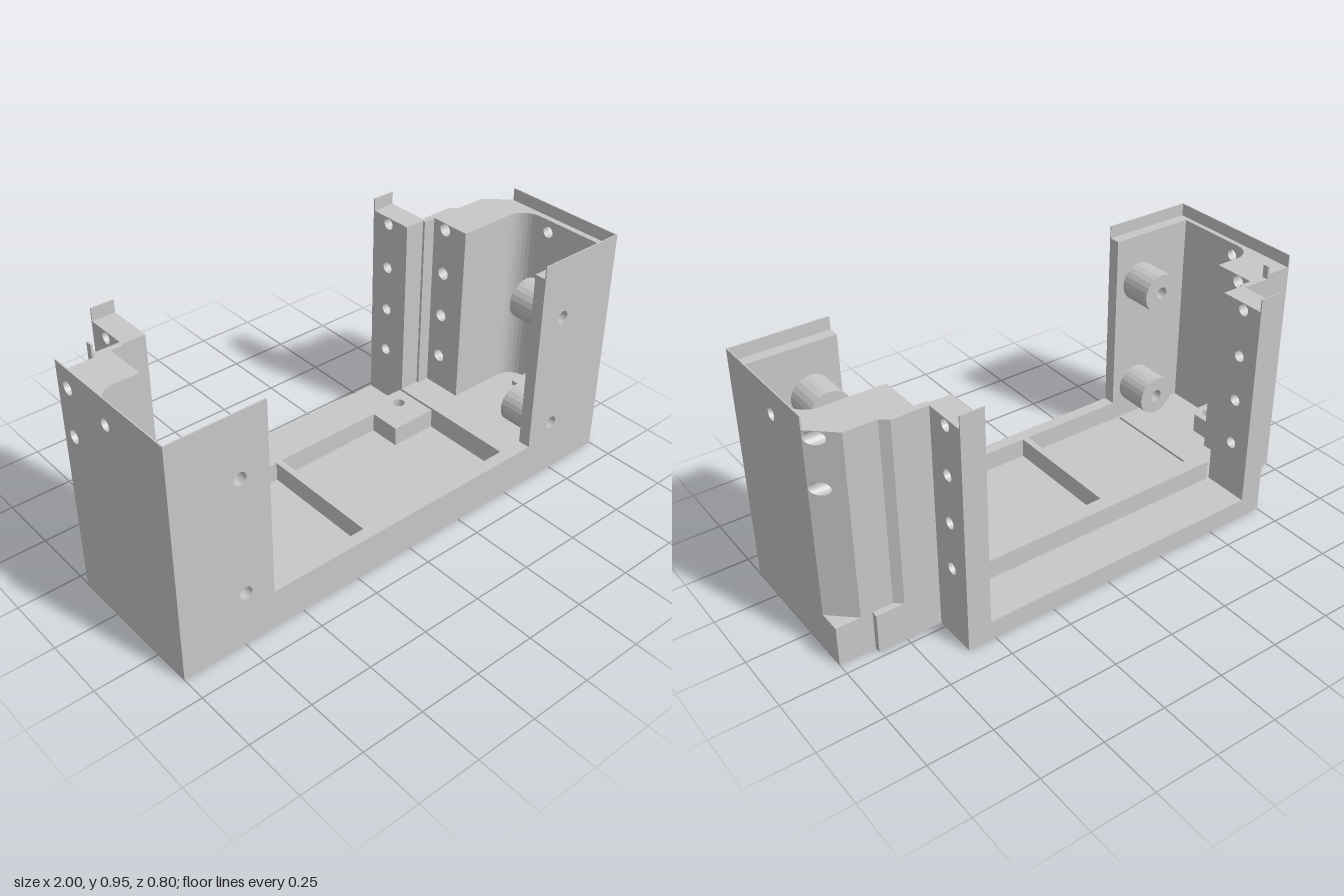
import * as THREE from 'three';

export function createModel() {
  const group = new THREE.Group();
  const grey = new THREE.MeshStandardMaterial({ color: 0xc8c8c8 });
  grey.name = 'light grey plastic';

  const add = (name, geo) => {
    const mesh = new THREE.Mesh(geo, grey);
    mesh.name = name;
    group.add(mesh);
    return mesh;
  };
  // Box given by its limits on each axis
  const box = (name, x0, x1, y0, y1, z0, z1) => {
    const geo = new THREE.BoxGeometry(x1 - x0, y1 - y0, z1 - z0);
    geo.translate((x0 + x1) / 2, (y0 + y1) / 2, (z0 + z1) / 2);
    return add(name, geo);
  };
  const makeShape = pts => new THREE.Shape(pts.map(p => new THREE.Vector2(p[0], p[1])));
  const punch = (shape, x, y, r) => {
    const hole = new THREE.Path();
    hole.absarc(x, y, r, 0, Math.PI * 2, true);
    shape.holes.push(hole);
  };
  const extrude = (shape, depth) =>
    new THREE.ExtrudeGeometry(shape, { depth, bevelEnabled: false, curveSegments: 12 });

  // Plan outline in (x, z) raised from y0 to y1
  const plan = (name, pts, y0, y1, holes = [], slots = []) => {
    const shape = makeShape(pts.map(([x, z]) => [x, -z]));
    holes.forEach(([x, z, r]) => punch(shape, x, -z, r));
    slots.forEach(([x0, x1, z0, z1]) => shape.holes.push(new THREE.Path(
      [[x0, -z0], [x0, -z1], [x1, -z1], [x1, -z0]].map(p => new THREE.Vector2(...p)))));
    const geo = extrude(shape, y1 - y0);
    geo.rotateX(-Math.PI / 2);
    geo.translate(0, y0, 0);
    return add(name, geo);
  };
  // Upright slab with holes [z, y, r] bored along x
  const bored = (name, x0, x1, y0, y1, z0, z1, holes) => {
    const shape = makeShape([[-z1, y0], [-z0, y0], [-z0, y1], [-z1, y1]]);
    holes.forEach(([z, y, r]) => punch(shape, -z, y, r));
    const geo = extrude(shape, x1 - x0);
    geo.rotateY(Math.PI / 2);
    geo.translate(x0, 0, 0);
    return add(name, geo);
  };

  const trayY = 0.08, floorY = 0.16, topY = 0.9, lipY = 0.95, lip = 0.005;
  const rows = [0.873, 0.683, 0.493, 0.303];
  const inner = rows.map(y => [-0.139, y, 0.026]);
  const outer = inner.slice(0, 2);

  // Base slab with two narrow slots
  plan('baseSlab', [[-1, 0.35], [1, 0.35], [1, -0.2], [0.86, -0.2], [0.86, -0.225], [0.61, -0.225],
    [0.61, -0.4], [-0.75, -0.4], [-0.75, -0.225], [-0.87, -0.225], [-0.87, -0.2], [-1, -0.2]],
  0, trayY, [], [[-0.66, -0.65, -0.2, 0.345], [0.505, 0.515, -0.2, 0.345]]);

  // Raised floor, back ledge with its screw pad, and divider
  plan('leftTowerFloor', [[0.515, 0.35], [1, 0.35], [1, -0.2], [0.86, -0.2], [0.86, -0.225],
    [0.61, -0.225], [0.515, -0.21]], trayY, floorY);
  plan('backLedge', [[-0.65, -0.15], [0.31, -0.15], [0.31, -0.02], [0.505, -0.02],
    [0.505, -0.21], [-0.65, -0.21]], trayY, floorY, [[0.44, -0.145, 0.024]]);
  box('trayDivider', -0.183, -0.157, trayY, floorY, -0.15, 0.35);

  // U-shaped front wall with screw holes
  const front = makeShape([[-1, 0], [1, 0], [1, topY], [0.62, topY], [0.62, floorY],
    [-0.622, floorY], [-0.622, topY], [-1, topY]]);
  const bossSpots = [-0.737, 0.737].flatMap(x => [0.225, 0.7].map(y => [x, y]));
  bossSpots.forEach(([x, y]) => punch(front, x, y, 0.025));
  add('frontWall', extrude(front, 0.05).translate(0, 0, 0.35));

  // Screw bosses behind the front wall
  const ring = new THREE.Shape();
  ring.absarc(0, 0, 0.08, 0, Math.PI * 2, false);
  punch(ring, 0, 0, 0.025);
  bossSpots.forEach(([x, y]) => {
    const boss = add('screwBoss', extrude(ring, 0.14));
    boss.position.set(x, y, 0.21);
  });

  // Right tower: side wall, bored block and back plate
  bored('rightSideWall', -1, -0.975, trayY, topY, -0.03, 0.35, [[0.077, 0.85, 0.023]]);
  bored('rightBlockOuter', -1, -0.9, trayY, topY, -0.2, -0.03, outer);
  bored('rightBlockInner', -0.9, -0.8, trayY, topY, -0.2, -0.03, inner);
  box('rightBackPlate', -0.87, -0.75, trayY, topY, -0.225, -0.2);
  box('rightPostWeb', -0.8, -0.7, trayY, topY, -0.225, -0.21);
  box('rightFin', -0.87, -0.862, 0, lipY, -0.225, -0.2);

  // Left tower: side wall and bored block with a chamfered back corner
  const crease = -0.112;
  bored('leftSideWall', 0.97, 1, floorY, topY, -0.03, 0.35, [[0.098, 0.85, 0.023]]);
  box('leftBlockFront', 0.65, 1, floorY, topY, crease, -0.03);
  bored('leftBlockInner', 0.65, 0.75, floorY, topY, -0.2, crease, inner);
  const chamfer = bored('leftBlockChamfer', 0.75, 1, floorY, topY, -0.2, crease, outer);
  const pos = chamfer.geometry.attributes.position;
  for (let i = 0; i < pos.count; i++) {
    if (pos.getX(i) > 0.99) pos.setX(i, 0.905 + (pos.getZ(i) + 0.2) * (0.095 / (crease + 0.2)));
  }
  chamfer.geometry.computeVertexNormals();
  plan('leftBackPlate', [[0.6, -0.2], [0.78, -0.2], [0.75, -0.225], [0.6, -0.225]], floorY, topY);

  // Back posts with four holes each and a thin lip on top
  for (const [side, x0, x1] of [['right', -0.75, -0.66], ['left', 0.517, 0.61]]) {
    bored(side + 'BackPost', x0, x1, trayY, topY, -0.4, -0.21, rows.map(y => [-0.314, y, 0.023]));
    box(side + 'PostLip', x0, x1, topY, lipY, -0.4, -0.4 + lip);
  }

  // Rounded inner corners of the tower cavities
  for (const [name, s, x, y] of [['rightFillet', 1, -0.975, trayY], ['leftFillet', -1, 0.97, floorY]]) {
    const r = 0.08, pts = [[x, -0.03]];
    for (let i = 0; i <= 8; i++) {
      const a = (i / 8) * Math.PI / 2;
      pts.push([x + s * r * (1 - Math.cos(a)), -0.03 + r * (1 - Math.sin(a))]);
    }
    plan(name, pts, y, topY);
  }

  // Low pads on the tower floors
  plan('rightCornerPad', [[-0.975, 0.11], [-0.87, 0.11], [-0.84, 0.08], [-0.84, -0.03], [-0.975, -0.03]],
    trayY, floorY, [[-0.89, 0.055, 0.024]]);
  box('leftFloorPad', 0.885, 0.97, floorY, 0.18, 0.06, 0.35);

  // Thin lips along the tops of the outer walls
  box('rightSideLip', -1, -1 + lip, topY, lipY, -0.2, 0.4);
  box('leftSideLip', 1 - lip, 1, topY, lipY, crease, 0.4);
  box('rightFrontLip', -1, -0.622, topY, lipY, 0.4 - lip, 0.4);
  box('leftFrontLip', 0.62, 1, topY, lipY, 0.4 - lip, 0.4);

  return group;
}
